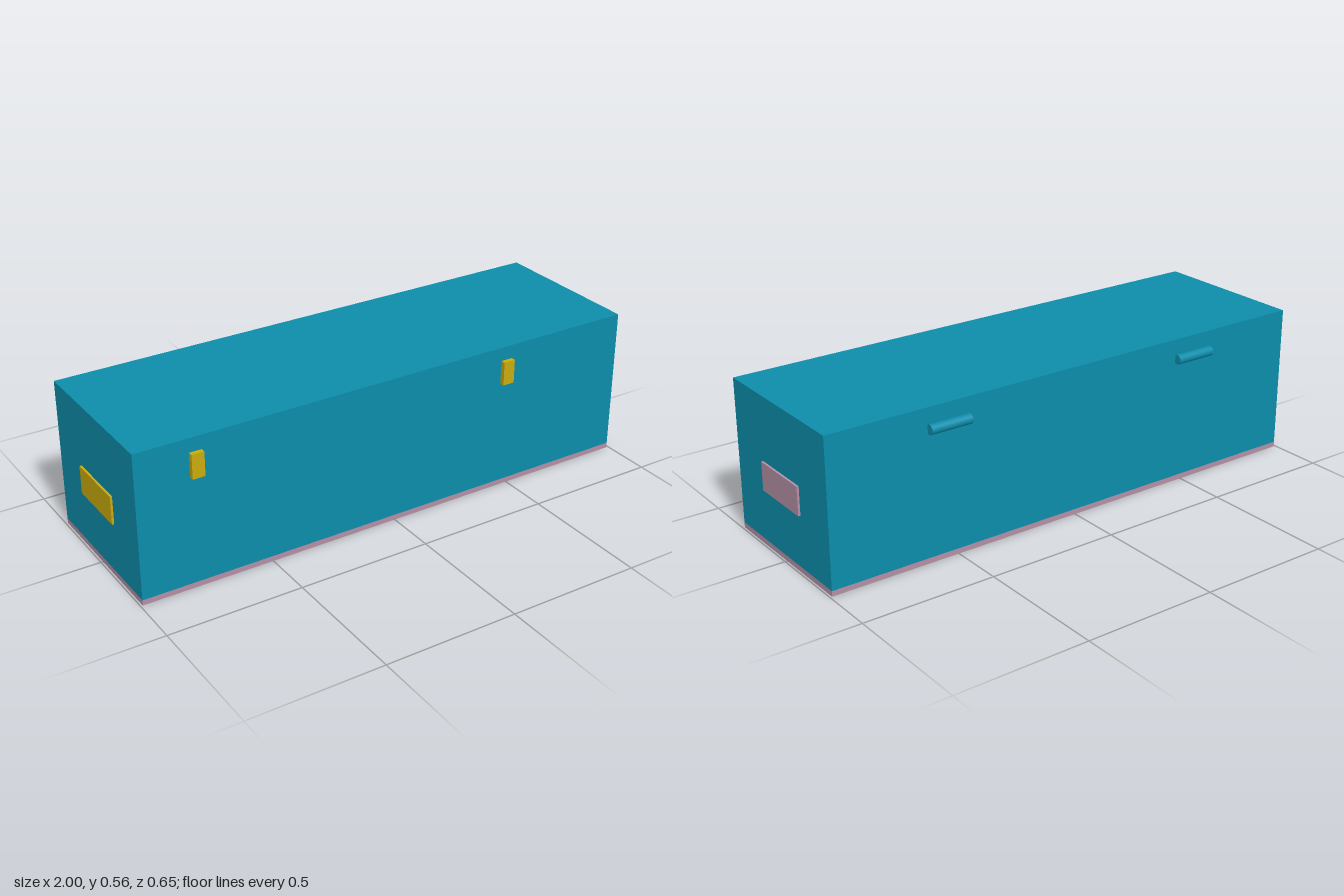
import * as THREE from 'three';

export function createModel() {
  const model = new THREE.Group();
  model.name = 'storageChest';

  const teal = new THREE.MeshStandardMaterial({ color: 0x0d8dab });
  teal.name = 'teal';
  const pink = new THREE.MeshStandardMaterial({ color: 0xb38fa5 });
  pink.name = 'dusty pink';
  const yellow = new THREE.MeshStandardMaterial({ color: 0xc9ab0e });
  yellow.name = 'mustard yellow';

  // Box given by its lower and upper limits on each axis
  function addBox(name, material, [x0, x1], [y0, y1], [z0, z1]) {
    const mesh = new THREE.Mesh(new THREE.BoxGeometry(x1 - x0, y1 - y0, z1 - z0), material);
    mesh.position.set((x0 + x1) / 2, (y0 + y1) / 2, (z0 + z1) / 2);
    mesh.name = name;
    model.add(mesh);
  }

  const width = [-0.992, 0.992];
  const depth = [-0.299, 0.309];

  // Chest body on a thin base board
  addBox('base', pink, width, [0, 0.02], depth);
  addBox('body', teal, width, [0.02, 0.563], depth);

  // End plates, one colour on each end
  addBox('leftEndPlate', pink, [0.985, 1], [0.216, 0.322], [-0.116, 0.126]);
  addBox('rightEndPlate', yellow, [-1, -0.985], [0.216, 0.322], [-0.116, 0.126]);

  // Front latches
  for (const x of [-0.773, 0.473]) {
    addBox('latch', yellow, [x - 0.023, x + 0.023], [0.421, 0.511], [0.3, 0.327]);
  }

  // Round hinge barrels along the back
  for (const x of [-0.532, 0.532]) {
    const hinge = new THREE.Mesh(new THREE.CylinderGeometry(0.018, 0.018, 0.16, 32), teal);
    hinge.rotation.z = Math.PI / 2;
    hinge.position.set(x, 0.488, -0.309);
    hinge.name = 'hinge';
    model.add(hinge);
  }

  return model;
}
